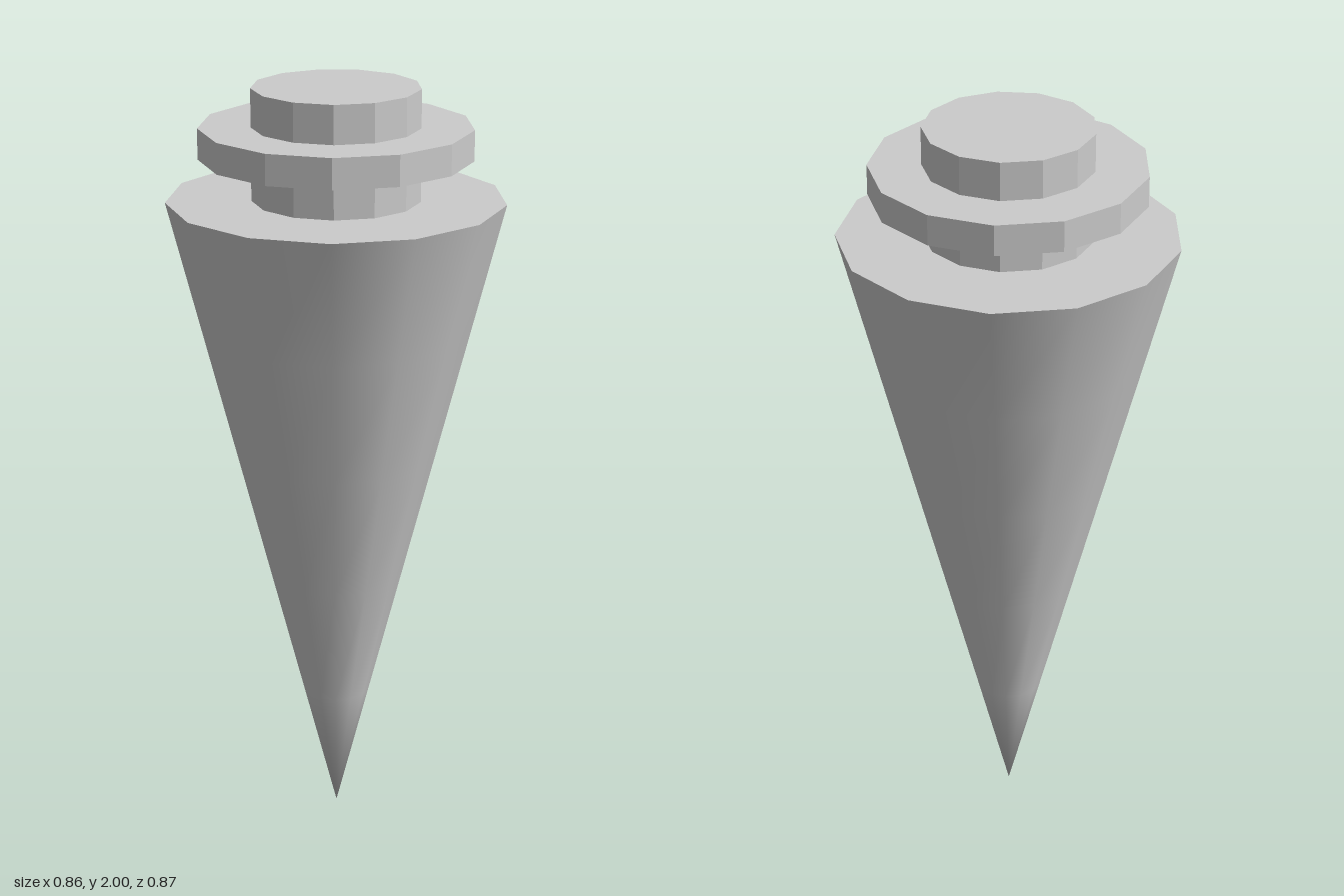
import * as THREE from 'three';
import { mergeVertices } from 'three/addons/utils/BufferGeometryUtils.js';

const SIDES = 13;
const START = Math.PI / 2; // first corner points to +x
const CONE_R = 0.437, CONE_H = 1.71;

export function createModel() {
  const group = new THREE.Group();
  const smooth = new THREE.MeshStandardMaterial({ color: 0xcccccc });
  const flat = new THREE.MeshStandardMaterial({ color: 0xcccccc, flatShading: true });

  const add = (name, geometry, material, y) => {
    const mesh = new THREE.Mesh(geometry, material);
    mesh.name = name;
    mesh.position.set(-0.007, y, 0);
    group.add(mesh);
  };

  // Faceted disc between two heights
  const disc = (name, radius, y0, y1) => add(name,
    new THREE.CylinderGeometry(radius, radius, y1 - y0, SIDES, 1, false, START), flat, (y0 + y1) / 2);

  // Pointed cone: welded so the shading runs smoothly around it and over the tip
  const side = new THREE.CylinderGeometry(CONE_R, 0, CONE_H, SIDES, 5, true, START);
  side.deleteAttribute('normal');
  side.deleteAttribute('uv');
  const cone = mergeVertices(side);
  cone.computeVertexNormals();
  add('cone', cone, smooth, CONE_H / 2);

  // Flat lid closing the cone
  add('coneTop', new THREE.CircleGeometry(CONE_R, SIDES).rotateX(-Math.PI / 2), flat, CONE_H);

  // Neck, flange around it and end cap
  disc('neck', 0.217, CONE_H, 1.82);
  disc('flange', 0.352, 1.82, 1.9);
  disc('endCap', 0.217, 1.9, 2);

  return group;
}
